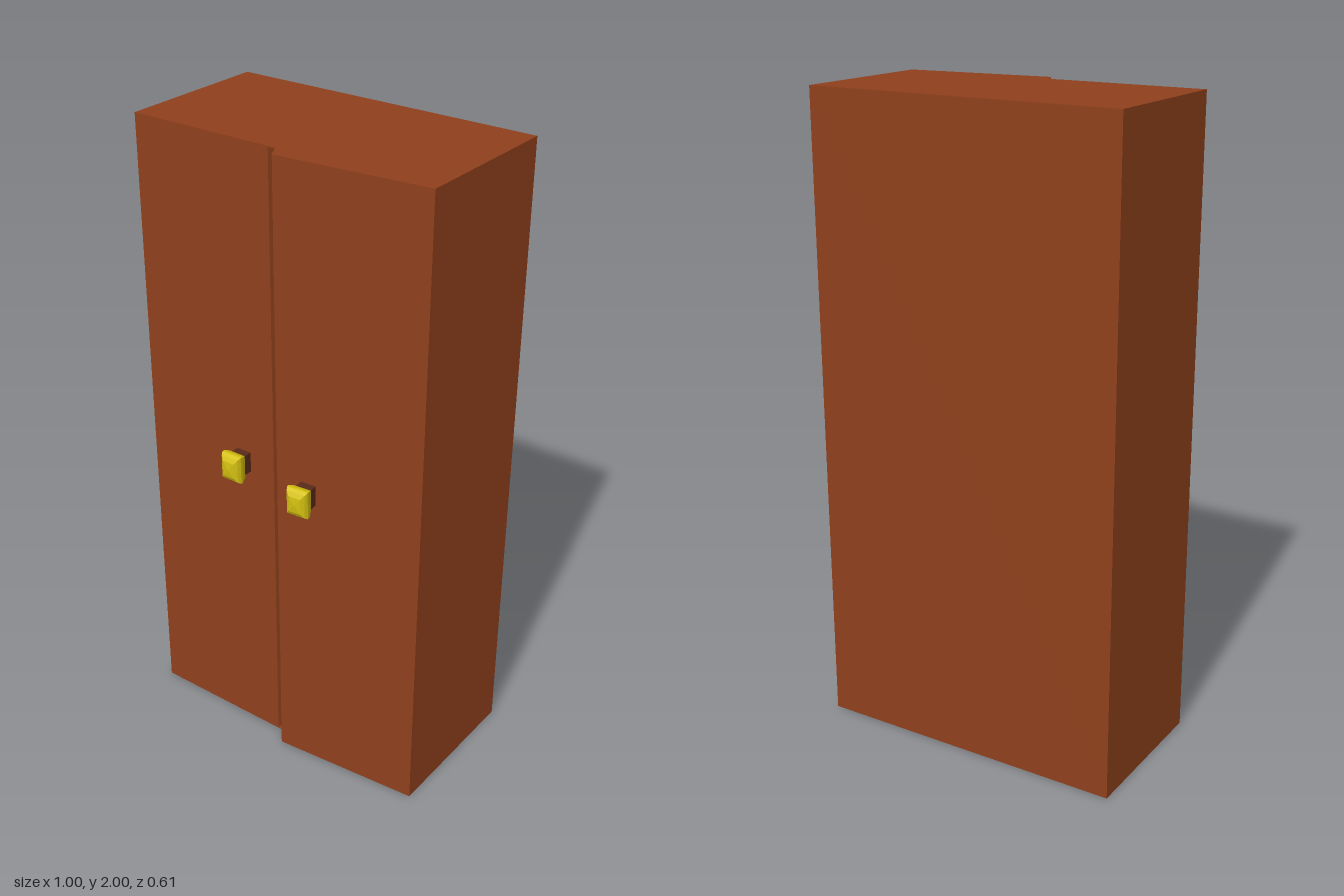
import * as THREE from 'three';

const mat = (color) => new THREE.MeshStandardMaterial({ color, flatShading: true });
const wood = mat(0x8f401c);
const darkWood = mat(0x5a2a18);
const black = mat(0x080808);
const brass = mat(0xd4c010);

// Upright prism from a floor plan of [x, z] points
function prism(name, plan, y0, y1, material) {
  const shape = new THREE.Shape(plan.map(([x, z]) => new THREE.Vector2(x, -z)));
  const geo = new THREE.ExtrudeGeometry(shape, { depth: y1 - y0, bevelEnabled: false });
  geo.rotateX(-Math.PI / 2).translate(0, y0, 0);
  const mesh = new THREE.Mesh(geo, material);
  mesh.name = name;
  return mesh;
}

// Square stem with a cushion-shaped four-sided head, pointing along +z
function knob(name) {
  const group = new THREE.Group();
  group.name = name;
  const stem = new THREE.Mesh(new THREE.BoxGeometry(0.05, 0.065, 0.045), darkWood);
  stem.position.z = 0.0125;
  stem.name = 'knobStem';

  // Half-width against distance from the door
  const profile = [[0, 0.032], [0.029, 0.032], [0.035, 0.05], [0.035, 0.058],
    [0.03, 0.068], [0.02, 0.075], [0, 0.078]]
    .map(([r, h]) => new THREE.Vector2(r * Math.SQRT2, h));
  const geo = new THREE.LatheGeometry(profile, 4);
  geo.rotateY(Math.PI / 4).rotateX(Math.PI / 2).scale(1, 1.27, 1);
  const head = new THREE.Mesh(geo, brass);
  head.name = 'knobHead';
  group.add(stem, head);
  return group;
}

export function createModel() {
  const model = new THREE.Group();
  model.name = 'wardrobe';
  const cap = 0.003, back = -0.305, inner = 0.13;
  const front = 0.19, ajar = 0.236, hinge = 0.194;

  // Carcass behind the doors
  model.add(prism('carcass',
    [[-0.5, back], [-0.5, inner], [0.5, inner], [0.5, back]], cap, 2 - cap, wood));

  // Closed left door and slightly open right door, with chamfered meeting edges
  model.add(prism('leftDoor',
    [[-0.5, inner], [-0.5, front], [-0.025, front], [-0.008, inner]], cap, 2 - cap, wood));
  model.add(prism('rightDoor',
    [[0.016, inner], [0.025, ajar], [0.5, hinge], [0.5, inner]], cap, 2 - cap, wood));

  // Dark gap between the doors
  model.add(prism('doorGap',
    [[-0.009, inner], [-0.009, 0.14], [0.017, 0.14], [0.017, inner]], cap, 2 - cap, black));

  // Thin top and bottom panels following the door outline
  const outline = [[-0.5, back], [-0.5, front], [0, front], [0.025, ajar], [0.5, hinge], [0.5, back]];
  model.add(prism('bottomPanel', outline, 0, cap, wood));
  model.add(prism('topPanel', outline, 2 - cap, 2, wood));

  // Knobs, the right one turned with its door
  const leftKnob = knob('leftDoorKnob');
  leftKnob.position.set(-0.138, 1, front);
  const rightKnob = knob('rightDoorKnob');
  rightKnob.position.set(0.132, 1, 0.227);
  rightKnob.rotation.y = Math.atan2(ajar - hinge, 0.475);
  model.add(leftKnob, rightKnob);

  return model;
}
